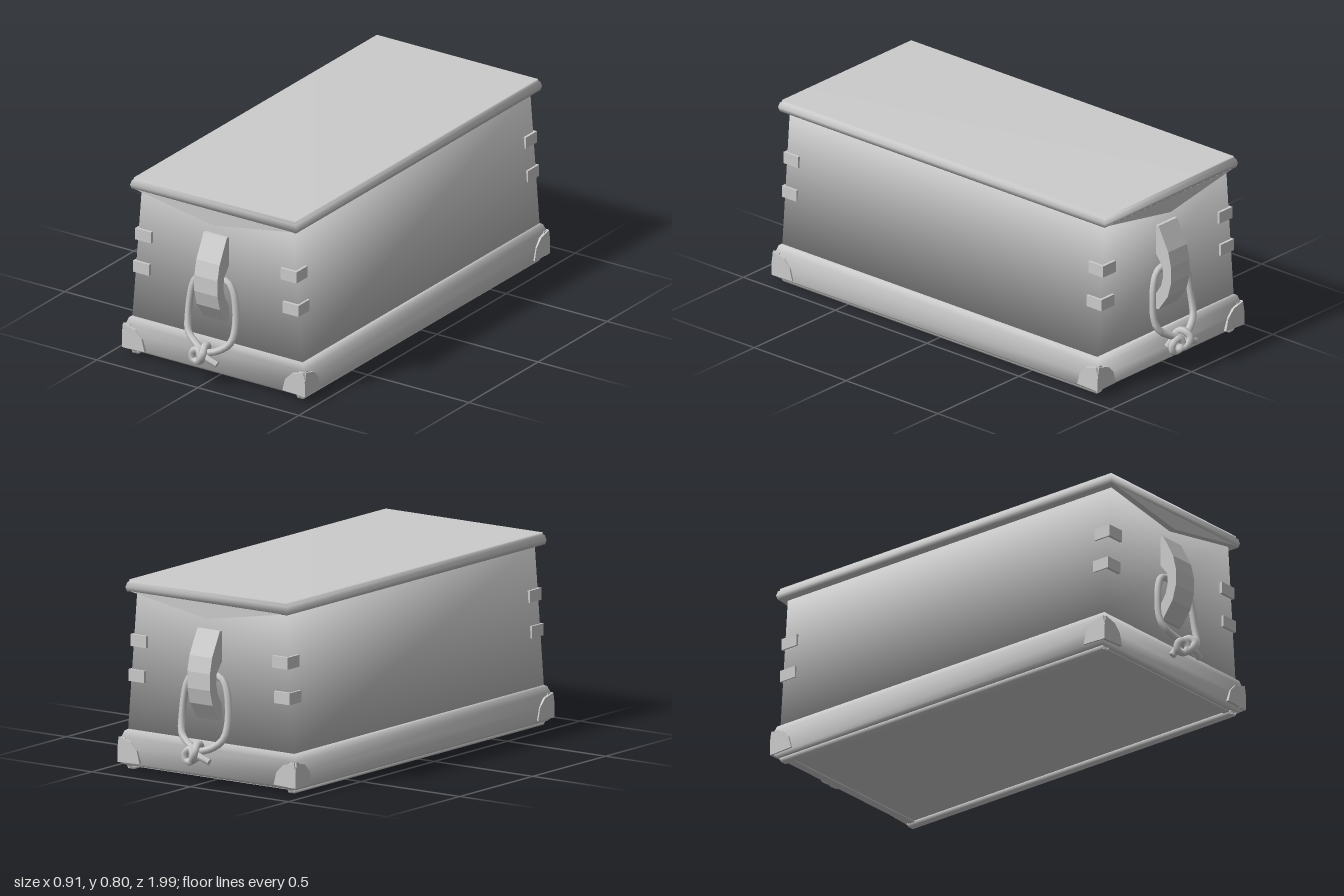
import * as THREE from 'three';

const stone = new THREE.MeshStandardMaterial({ color: 0xcccccc });
stone.name = 'pale grey';

function add(parent, name, geometry) {
  const mesh = new THREE.Mesh(geometry, stone);
  mesh.name = name;
  parent.add(mesh);
  return mesh;
}

// Stack of rectangles [halfX, y, halfZ] from bottom to top, softly shaded
function loft(rings, capTop, capBottom) {
  const pos = [], idx = [];
  for (const [x, y, z] of rings) pos.push(x, y, z, x, y, -z, -x, y, -z, -x, y, z);
  for (let r = 0; r < rings.length - 1; r++) {
    for (let i = 0; i < 4; i++) {
      const a = r * 4 + i, b = r * 4 + (i + 1) % 4;
      idx.push(a, b, b + 4, a, b + 4, a + 4);
    }
  }
  const t = (rings.length - 1) * 4;
  if (capTop) idx.push(t, t + 1, t + 2, t, t + 2, t + 3);
  if (capBottom) idx.push(0, 2, 1, 0, 3, 2);
  const g = new THREE.BufferGeometry();
  g.setAttribute('position', new THREE.Float32BufferAttribute(pos, 3));
  g.setIndex(idx);
  g.computeVertexNormals();
  return g;
}

function plate(points, depth) {
  const shape = new THREE.Shape(points.map(([x, y]) => new THREE.Vector2(x, y)));
  return new THREE.ExtrudeGeometry(shape, { depth, bevelEnabled: false });
}

function rope(points, radius, closed = false, steps = 24) {
  const curve = new THREE.CatmullRomCurve3(points.map((p) => new THREE.Vector3(...p)), closed);
  return new THREE.TubeGeometry(curve, steps, radius, 6, closed);
}

// Flat discs closing the ends of a rope
function ropeEnd(parent, at, from, radius) {
  const disc = add(parent, 'ropeEnd', new THREE.CircleGeometry(radius, 6));
  disc.position.set(...at);
  const dir = new THREE.Vector3(...at).sub(new THREE.Vector3(...from)).normalize();
  disc.quaternion.setFromUnitVectors(new THREE.Vector3(0, 0, 1), dir);
}

// Arched lug, hanging rope ring and knot for one end
function createHandle() {
  const g = new THREE.Group();
  g.name = 'handle';
  const lug = plate([
    [0.85, 0.638], [0.872, 0.638], [0.925, 0.535], [0.94, 0.47], [0.94, 0.40], [0.922, 0.335], [0.872, 0.265],
    [0.85, 0.265], [0.85, 0.32], [0.885, 0.375], [0.897, 0.42], [0.893, 0.465], [0.85, 0.52],
  ], 0.115);
  lug.rotateY(-Math.PI / 2);
  lug.translate(0.056, 0, 0);
  add(g, 'handleLug', lug);

  add(g, 'ropeRing', rope([
    [0, 0.455, 0.876], [-0.075, 0.445, 0.88], [-0.102, 0.405, 0.884], [-0.118, 0.25, 0.898],
    [-0.105, 0.2, 0.915], [-0.055, 0.165, 0.935], [0, 0.145, 0.95], [0.06, 0.16, 0.935],
    [0.105, 0.2, 0.915], [0.115, 0.28, 0.895], [0.098, 0.405, 0.884], [0.07, 0.445, 0.88],
  ], 0.015, true, 36));

  // Knot: one turn around the ring and two loose tails
  add(g, 'knotTurn', rope([
    [0.005, 0.172, 0.96], [0.012, 0.15, 0.982], [-0.005, 0.115, 0.975],
    [-0.02, 0.105, 0.945], [-0.015, 0.14, 0.915], [0, 0.168, 0.93],
  ], 0.016, true));
  add(g, 'knotBight', rope([
    [-0.03, 0.15, 0.955], [-0.062, 0.13, 0.95], [-0.06, 0.1, 0.95], [-0.03, 0.097, 0.955], [-0.012, 0.125, 0.965],
  ], 0.015, true));
  const tail = [[-0.03, 0.145, 0.94], [0.02, 0.128, 0.965], [0.068, 0.108, 0.96]];
  add(g, 'knotTail', rope(tail, 0.015, false, 6));
  ropeEnd(g, tail[2], tail[1], 0.015);
  const back = [[0.02, 0.15, 0.94], [-0.02, 0.13, 0.915], [-0.035, 0.1, 0.9]];
  add(g, 'knotBackTail', rope(back, 0.015, false, 6));
  ropeEnd(g, back[2], back[1], 0.015);
  return g;
}

// Straps and corner guard for the +x +z corner; other corners are mirrored
function addCorner(parent, sx, sz) {
  const place = (name, g) => {
    if (sx * sz < 0) {
      // Mirrored copies need their triangles turned round
      g = g.toNonIndexed();
      g.scale(sx, 1, sz);
      for (const key of Object.keys(g.attributes)) {
        const { array, itemSize: n } = g.attributes[key];
        for (let i = 0; i < array.length; i += n * 3) {
          for (let k = 0; k < n; k++) {
            const tmp = array[i + n + k];
            array[i + n + k] = array[i + 2 * n + k];
            array[i + 2 * n + k] = tmp;
          }
        }
      }
      g.computeVertexNormals();
    } else {
      g.scale(sx, 1, sz);
    }
    add(parent, name, g);
  };

  for (const [y, x] of [[0.52, 0.4], [0.373, 0.41]]) {
    const strap = plate([
      [x, -0.87], [x, -0.79], [x - 0.03, -0.79], [x - 0.03, -0.85], [x - 0.08, -0.85], [x - 0.08, -0.87],
    ].reverse(), 0.05);
    strap.rotateX(-Math.PI / 2);
    strap.translate(0, y, 0);
    place('cornerStrap', strap);
  }

  const outline = [[0, 0.033], [0, 0.09], [-0.008, 0.138], [-0.065, 0.123], [-0.098, 0.09], [-0.112, 0.037]];
  const front = plate([...outline].reverse().map(([a, y]) => [a + 0.453, y]), 0.035);
  front.translate(0, 0, 0.853);
  place('cornerGuardEnd', front);
  const side = plate([...outline].reverse().map(([a, y]) => [-a, y]).reverse(), 0.035);
  side.rotateY(Math.PI / 2);
  side.translate(0.418, 0, 0.888);
  place('cornerGuardSide', side);
}

export function createModel() {
  const model = new THREE.Group();
  model.name = 'chest';

  add(model, 'body', loft([[0.421, 0.165, 0.858], [0.374, 0.755, 0.858]], true, true));

  // Rounded plinth with a flat underside
  add(model, 'plinth', loft([
    [0.435, 0.02, 0.862], [0.446, 0.032, 0.874], [0.447, 0.09, 0.88],
    [0.44, 0.14, 0.876], [0.431, 0.164, 0.868], [0.415, 0.172, 0.855],
  ], true, false));
  const underside = add(model, 'underside', new THREE.PlaneGeometry(0.87, 1.724));
  underside.rotation.x = Math.PI / 2;
  underside.position.y = 0.02;

  // Rim under the plinth
  for (const s of [-1, 1]) {
    const rail = add(model, 'bottomRail', loft([[0.014, 0.004, 0.855], [0.02, 0.022, 0.86]], true, true));
    rail.position.x = s * 0.408;
    const lip = add(model, 'bottomLip', new THREE.BoxGeometry(0.8, 0.008, 0.03));
    lip.position.set(0, 0.019, s * 0.835);
  }

  // Moulded lid with a shallow pointed apron at each end
  add(model, 'lid', loft([
    [0.37, 0.748, 0.85], [0.407, 0.75, 0.885], [0.411, 0.768, 0.89],
    [0.405, 0.787, 0.886], [0.4, 0.792, 0.88], [0.398, 0.8, 0.878],
  ], true, true));
  for (const s of [-1, 1]) {
    const apron = plate([[-0.39, 0.752], [0, 0.685], [0.39, 0.752]], 0.038);
    apron.translate(0, 0, 0.848);
    if (s < 0) apron.rotateY(Math.PI);
    add(model, 'lidApron', apron);
  }

  for (const sx of [-1, 1]) for (const sz of [-1, 1]) addCorner(model, sx, sz);

  const frontHandle = createHandle();
  const backHandle = createHandle();
  backHandle.rotation.y = Math.PI;
  model.add(frontHandle, backHandle);
  return model;
}
